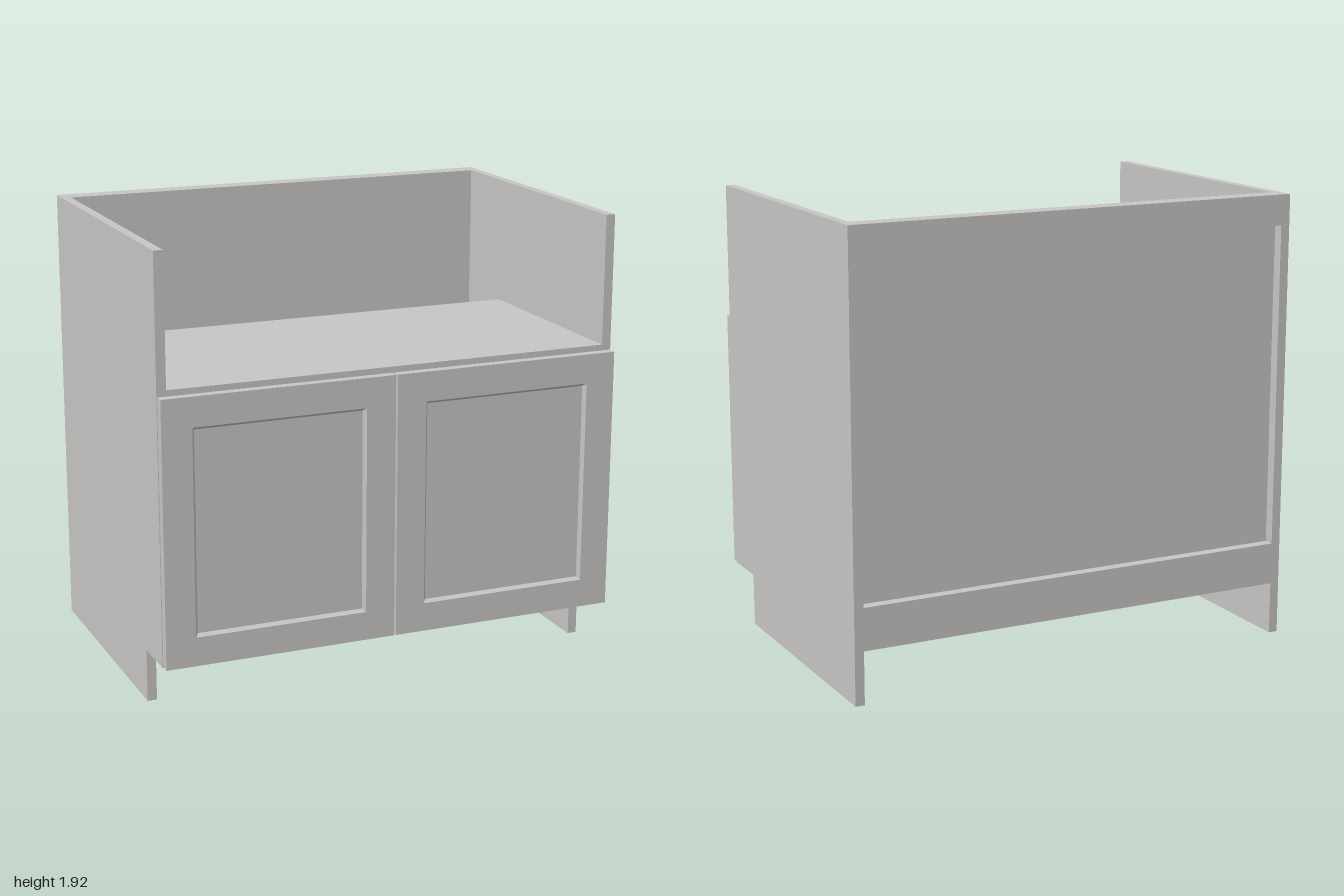
import * as THREE from 'three';

const grey = new THREE.MeshStandardMaterial({ color: 0xc8c6c4 });
grey.name = 'paintedGrey';

const T = 0.04;          // board thickness
const IN = 1 - T;        // inner face of the sides
const BACK = -0.69, FRONT = 0.65;

// Board given by its min and max on each axis
function board(name, [x0, x1], [y0, y1], [z0, z1]) {
  const mesh = new THREE.Mesh(new THREE.BoxGeometry(x1 - x0, y1 - y0, z1 - z0), grey);
  mesh.position.set((x0 + x1) / 2, (y0 + y1) / 2, (z0 + z1) / 2);
  mesh.name = name;
  return mesh;
}

// Side panel with a toe-kick notch, drawn in (z, y) and extruded along x
function sidePanel(name, x) {
  const shape = new THREE.Shape([
    [BACK, 0], [0.44, 0], [0.44, 0.225], [FRONT, 0.225], [FRONT, 1.92], [BACK, 1.92],
  ].map(([z, y]) => new THREE.Vector2(-z, y)));
  const geo = new THREE.ExtrudeGeometry(shape, { depth: T, bevelEnabled: false });
  geo.rotateY(Math.PI / 2);
  const mesh = new THREE.Mesh(geo, grey);
  mesh.position.x = x;
  mesh.name = name;
  return mesh;
}

const rect = (x0, x1, y0, y1) =>
  [[x0, y0], [x1, y0], [x1, y1], [x0, y1]].map(([x, y]) => new THREE.Vector2(x, y));

// Door: backing slab, front frame, and a sloped moulding into the recess
function door(name, x0, x1) {
  const g = new THREE.Group();
  g.name = name;
  const y0 = 0.228, y1 = 1.345, zFront = 0.69, depth = 0.016, slope = 0.012, stile = 0.127;
  const zPanel = zFront - depth;
  g.add(board('doorPanel', [x0, x1], [y0, y1], [FRONT, zPanel]));

  const outer = rect(x0 + stile, x1 - stile, y0 + stile - 0.005, y1 - stile + 0.002);
  const shape = new THREE.Shape(rect(x0, x1, y0, y1));
  shape.holes.push(new THREE.Path(outer));
  const frame = new THREE.Mesh(
    new THREE.ExtrudeGeometry(shape, { depth, bevelEnabled: false }), grey);
  frame.position.z = zPanel;
  frame.name = 'doorFrame';
  g.add(frame);

  const inner = rect(outer[0].x + slope, outer[1].x - slope, outer[0].y + slope, outer[2].y - slope);
  const pos = [];
  for (let i = 0; i < 4; i++) {
    const j = (i + 1) % 4;
    const a = [outer[i].x, outer[i].y, zFront], b = [outer[j].x, outer[j].y, zFront];
    const c = [inner[j].x, inner[j].y, zPanel], d = [inner[i].x, inner[i].y, zPanel];
    pos.push(...a, ...b, ...c, ...a, ...c, ...d);
  }
  const geo = new THREE.BufferGeometry();
  geo.setAttribute('position', new THREE.Float32BufferAttribute(pos, 3));
  geo.computeVertexNormals();
  const moulding = new THREE.Mesh(geo, grey);
  moulding.name = 'doorMoulding';
  g.add(moulding);
  return g;
}

export function createModel() {
  const model = new THREE.Group();
  model.name = 'sinkCabinet';
  const span = [-IN, IN];
  const railZ = [BACK, BACK + 0.045];

  // Carcass
  model.add(sidePanel('leftSide', IN), sidePanel('rightSide', -1));
  model.add(board('bottomPanel', span, [0.225, 0.265], [BACK, FRONT]));
  model.add(board('shelf', span, [1.33, 1.37], [-0.3, FRONT]));

  // Recessed back with rails behind it
  model.add(board('backPanel', span, [0.265, 1.92], [railZ[1], -0.605]));
  model.add(board('topBackRail', span, [1.79, 1.92], railZ));
  model.add(board('bottomBackRail', span, [0.265, 0.405], railZ));

  // Doors
  model.add(door('leftDoor', 0.004, 0.997), door('rightDoor', -0.997, -0.004));
  return model;
}
